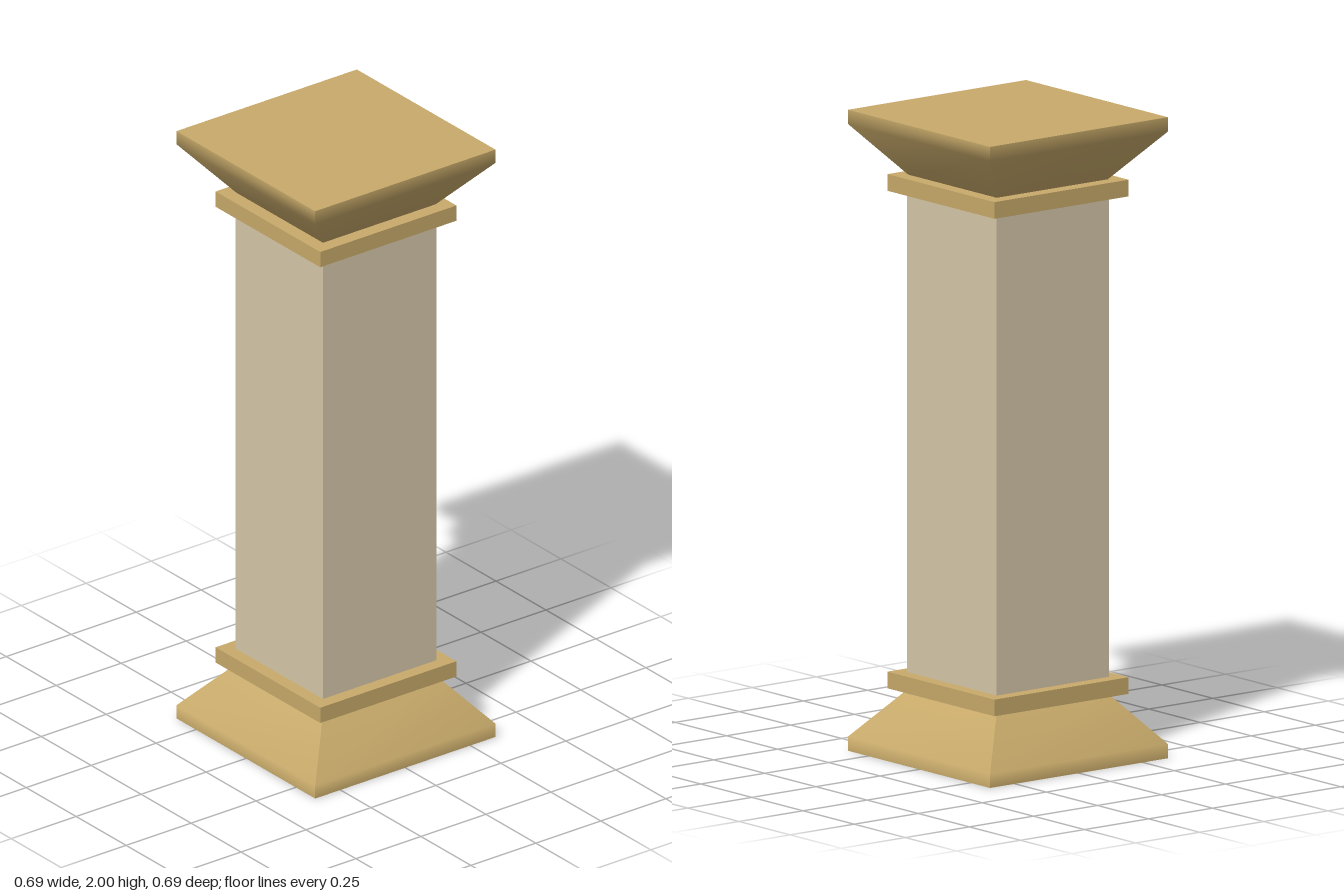
import * as THREE from 'three';

// Square moulding: each side follows a [halfWidth, y] profile, smooth along the
// profile and sharp at the four corners, closed above and below.
function squareMoulding(profile) {
  const pos = [], idx = [];
  const strip = (rows) => {
    const start = pos.length / 3;
    rows.forEach((row) => row.forEach((p) => pos.push(...p)));
    for (let i = 0; i < rows.length - 1; i++) {
      const a = start + i * 2;
      idx.push(a, a + 1, a + 3, a, a + 3, a + 2);
    }
  };
  for (let side = 0; side < 4; side++) {
    const c = Math.round(Math.cos(side * Math.PI / 2));
    const s = Math.round(Math.sin(side * Math.PI / 2));
    const turn = (x, y, z) => [x * c + z * s, y, z * c - x * s];
    strip(profile.map(([h, y]) => [turn(-h, y, h), turn(h, y, h)]));
  }
  const [b, y0] = profile[0];
  const [t, y1] = profile[profile.length - 1];
  strip([[[-t, y1, t], [t, y1, t]], [[-t, y1, -t], [t, y1, -t]]]);
  strip([[[-b, y0, -b], [b, y0, -b]], [[-b, y0, b], [b, y0, b]]]);

  const g = new THREE.BufferGeometry();
  g.setAttribute('position', new THREE.Float32BufferAttribute(pos, 3));
  g.setIndex(idx);
  g.computeVertexNormals();
  return g;
}

export function createModel() {
  const model = new THREE.Group();
  model.name = 'squareColumn';

  const gold = new THREE.MeshStandardMaterial({ color: 0xc8aa6a });
  gold.name = 'gold';
  const stone = new THREE.MeshStandardMaterial({ color: 0xd5c8a9 });
  stone.name = 'paleStone';

  const add = (name, geometry, material, y = 0) => {
    const mesh = new THREE.Mesh(geometry, material);
    mesh.name = name;
    mesh.position.y = y;
    model.add(mesh);
  };

  // Flared foot and its mirrored capital
  const flare = [[0.347, 0], [0.347, 0.045], [0.215, 0.2]];
  add('base', squareMoulding(flare), gold);
  add('capital', squareMoulding(flare.map(([h, y]) => [h, 2 - y]).reverse()), gold);

  // Collars at both ends of the shaft
  const collar = new THREE.BoxGeometry(0.524, 0.052, 0.524);
  add('lowerCollar', collar, gold, 0.224);
  add('upperCollar', collar, gold, 1.776);

  // Shaft
  add('shaft', new THREE.BoxGeometry(0.438, 1.5, 0.438), stone, 1);

  return model;
}
